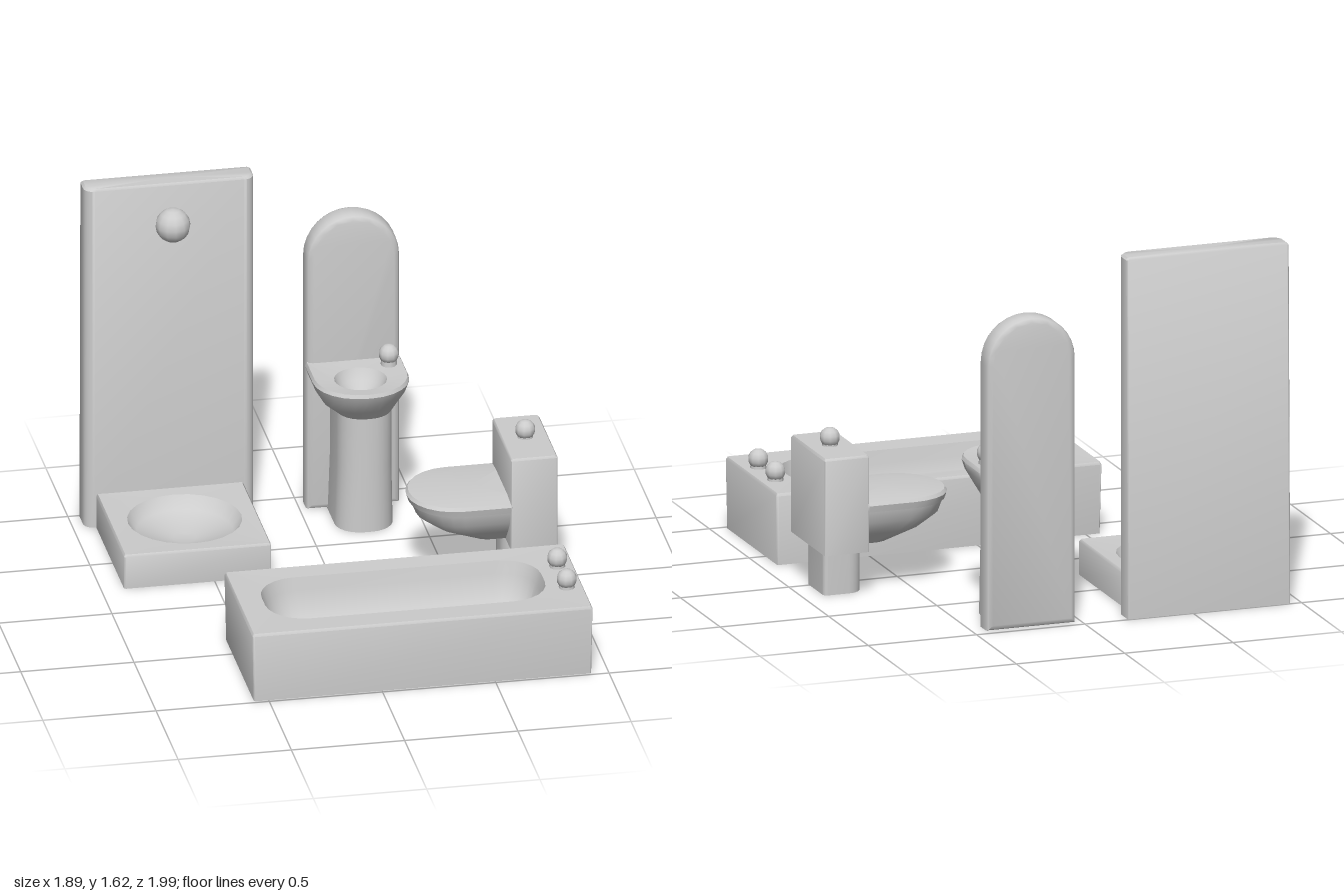
import * as THREE from 'three';
import { toCreasedNormals } from 'three/addons/utils/BufferGeometryUtils.js';

const STEPS = 6; // segments per rounded corner

// Horizontal rounded rectangle; radii in order (+x+z), (-x+z), (-x-z), (+x-z)
function ring(y, x0, x1, z0, z1, r = 0.01) {
  const radii = Array.isArray(r) ? r : [r, r, r, r];
  const points = [];
  for (let k = 0; k < 4; k++) {
    const right = k === 0 || k === 3, front = k < 2, rad = radii[k];
    const cx = right ? x1 - rad : x0 + rad;
    const cz = front ? z1 - rad : z0 + rad;
    for (let i = 0; i <= STEPS; i++) {
      const a = (k + i / STEPS) * Math.PI / 2;
      points.push([cx + rad * Math.cos(a), y, cz + rad * Math.sin(a)]);
    }
  }
  return points;
}

const disc = (y, cx, cz, r) => ring(y, cx - r, cx + r, cz - r, cz + r, r);

// Skin through a list of rings, closed at both ends
function loft(rings, crease = 0.75) {
  const n = rings[0].length, pos = rings.flat(2), index = [];
  for (let i = 0; i < rings.length - 1; i++) {
    for (let j = 0; j < n; j++) {
      const p = i * n + j, q = i * n + (j + 1) % n;
      index.push(p, p + n, q, q, p + n, q + n);
    }
  }
  const cap = (points, start, up) => {
    const c = pos.length / 3;
    pos.push(...[0, 1, 2].map(k => points.reduce((s, p) => s + p[k], 0) / n));
    for (let j = 0; j < n; j++) {
      const a = start + j, b = start + (j + 1) % n;
      index.push(c, up ? b : a, up ? a : b);
    }
  };
  cap(rings[0], 0, false);
  cap(rings[rings.length - 1], (rings.length - 1) * n, true);
  const g = new THREE.BufferGeometry();
  g.setAttribute('position', new THREE.Float32BufferAttribute(pos, 3));
  g.setIndex(index);
  return toCreasedNormals(g, crease);
}

export function createModel() {
  const ceramic = new THREE.MeshStandardMaterial({ color: 0xcccccc });
  ceramic.name = 'ceramic';
  const root = new THREE.Group();
  root.name = 'bathroomSet';

  const group = (name) => {
    const g = new THREE.Group();
    g.name = name;
    root.add(g);
    return g;
  };
  const add = (parent, name, geometry, x = 0, y = 0, z = 0) => {
    const m = new THREE.Mesh(geometry, ceramic);
    m.name = name;
    m.position.set(x, y, z);
    parent.add(m);
  };
  // Ball knob on a short stem
  const knob = (parent, name, x, y, z) => {
    add(parent, name, new THREE.SphereGeometry(0.045, 10, 7), x, y + 0.041, z);
    add(parent, name + 'Stem', new THREE.CylinderGeometry(0.032, 0.036, 0.05, 10), x, y + 0.015, z);
  };

  // Shower: wall panel, tray with a conical basin, ball head
  const shower = group('shower');
  const panelRadii = [0.045, 0.045, 0.008, 0.008];
  add(shower, 'showerPanel', loft([
    ring(0.01, -0.95, -0.2, -1, -0.868, panelRadii),
    ring(1.62, -0.95, -0.2, -0.98, -0.868, panelRadii),
    ring(1.63, -0.94, -0.21, -0.972, -0.876, panelRadii),
  ]));
  add(shower, 'showerTray', loft([
    ring(0.01, -0.9, -0.25, -0.88, -0.235),
    ring(0.16, -0.9, -0.25, -0.88, -0.235),
    ring(0.17, -0.893, -0.257, -0.88, -0.242),
    disc(0.165, -0.57, -0.56, 0.25),
    disc(0.11, -0.57, -0.56, 0.21),
    disc(0.075, -0.57, -0.56, 0.05),
  ]));
  add(shower, 'showerHead', new THREE.SphereGeometry(0.077, 12, 8), -0.575, 1.463, -0.8);

  // Bathtub with a rounded cavity and two taps
  const tub = group('bathtub');
  add(tub, 'tub', loft([
    ring(0.01, -0.565, 0.925, 0.348, 0.988),
    ring(0.32, -0.572, 0.93, 0.343, 0.993),
    ring(0.332, -0.565, 0.923, 0.35, 0.986),
    ring(0.328, -0.46, 0.775, 0.448, 0.868, 0.17),
    ring(0.27, -0.44, 0.76, 0.462, 0.855, 0.16),
    ring(0.16, -0.4, 0.73, 0.49, 0.83, 0.14),
    ring(0.12, -0.33, 0.67, 0.54, 0.78, 0.1),
  ]));
  for (const z of [0.56, 0.775]) knob(tub, 'tubTap', 0.857, 0.33, z);

  // Washbasin: pedestal, rounded bowl, tap and tall arched mirror
  const basin = group('washbasin');
  const column = [0.11, 0.11, 0.01, 0.01];
  add(basin, 'pedestal', loft([
    ring(0.01, 0.12, 0.375, -0.88, -0.598, column),
    ring(0.3, 0.13, 0.37, -0.88, -0.6, column),
    ring(0.56, 0.13, 0.37, -0.88, -0.6, column),
  ]));
  const bowl = (y, x0, x1, front, r) => ring(y, x0, x1, -0.88, front, [r, r, 0.01, 0.01]);
  add(basin, 'basinBowl', loft([
    bowl(0.55, 0.13, 0.37, -0.6, 0.11),
    bowl(0.6, 0.07, 0.4, -0.56, 0.15),
    bowl(0.66, 0.035, 0.433, -0.51, 0.19),
    bowl(0.7, 0.022, 0.444, -0.492, 0.2),
    bowl(0.716, 0.03, 0.436, -0.498, 0.195),
    disc(0.708, 0.23, -0.68, 0.115),
    disc(0.66, 0.23, -0.68, 0.09),
    disc(0.62, 0.23, -0.68, 0.04),
  ]));
  knob(basin, 'basinTap', 0.377, 0.722, -0.793);

  const bevel = 0.025, half = 0.205 - bevel;
  const arch = new THREE.Shape();
  arch.moveTo(-half, 0.01 + bevel);
  arch.lineTo(half, 0.01 + bevel);
  arch.lineTo(half, 1.2);
  arch.absarc(0, 1.2, half, 0, Math.PI, false);
  arch.closePath();
  const mirror = new THREE.ExtrudeGeometry(arch, {
    depth: 0.115 - 2 * bevel, curveSegments: 8,
    bevelThickness: bevel, bevelSize: bevel, bevelSegments: 2,
  });
  add(basin, 'mirror', toCreasedNormals(mirror, 0.9), 0.234, 0, -0.975 + bevel);

  // Toilet: foot, tank, lidded bowl facing -x, flush button
  const toilet = group('toilet');
  add(toilet, 'toiletFoot', loft([
    ring(0.01, 0.72, 0.905, -0.185, 0.025, [0.02, 0.07, 0.07, 0.02]),
    ring(0.23, 0.72, 0.905, -0.185, 0.025, [0.02, 0.07, 0.07, 0.02]),
  ]));
  add(toilet, 'toiletTank', loft([
    ring(0.22, 0.735, 0.942, -0.295, 0.138),
    ring(0.645, 0.735, 0.942, -0.295, 0.138),
    ring(0.655, 0.742, 0.935, -0.288, 0.131),
  ]));
  const seat = (y, x0, inset, r) =>
    ring(y, x0, 0.745, -0.298 + inset, 0.14 - inset, [0.01, r, r, 0.01]);
  add(toilet, 'toiletBowl', loft([
    seat(0.225, 0.58, 0.12, 0.09),
    seat(0.28, 0.44, 0.07, 0.14),
    seat(0.34, 0.355, 0.025, 0.185),
    seat(0.395, 0.333, 0.012, 0.2),
  ]));
  add(toilet, 'toiletLid', loft([
    seat(0.395, 0.325, 0.008, 0.205),
    seat(0.425, 0.315, 0, 0.21),
    seat(0.44, 0.325, 0.008, 0.205),
    seat(0.45, 0.42, 0.08, 0.13),
  ]));
  knob(toilet, 'flushButton', 0.84, 0.65, -0.08);

  return root;
}
